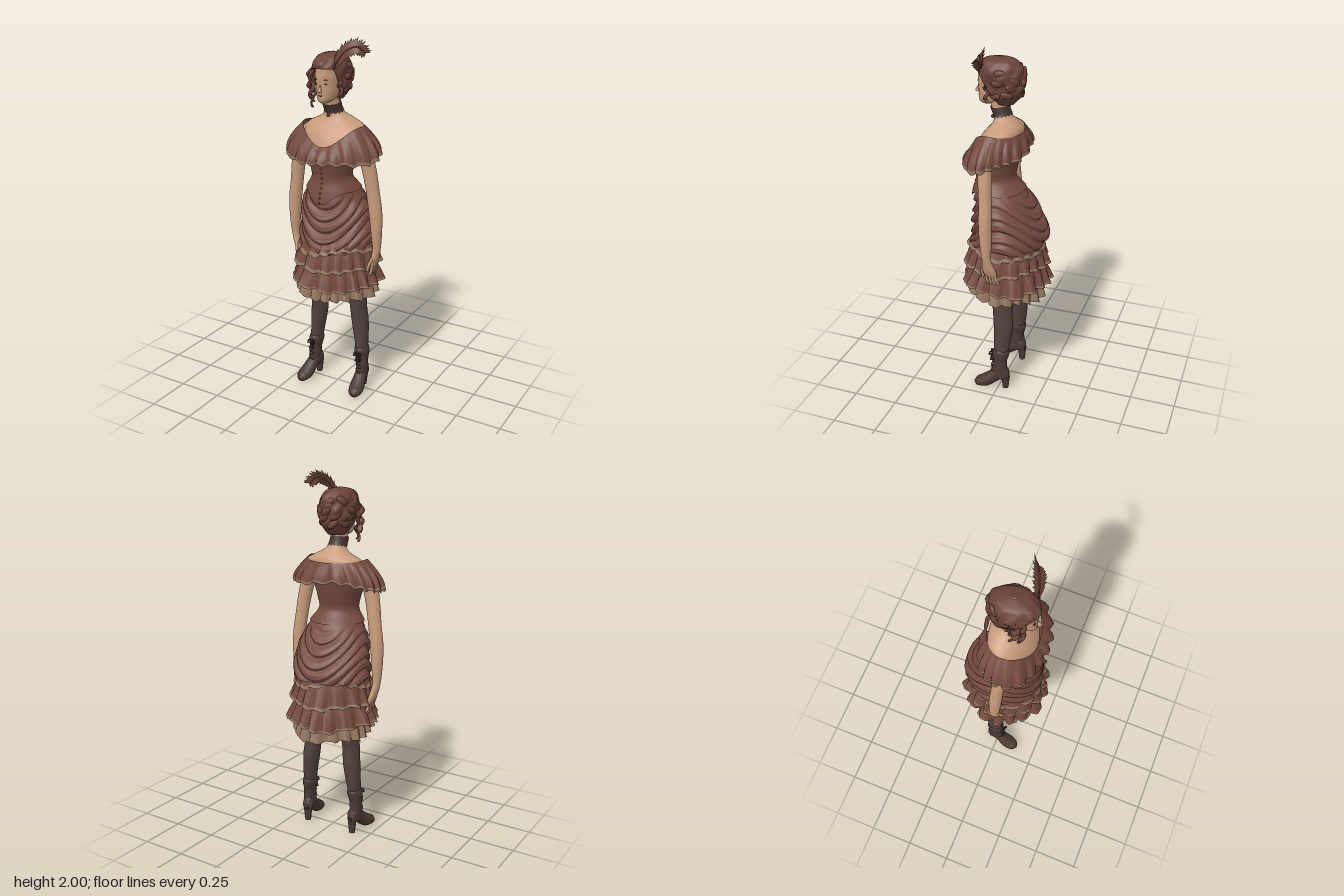
import * as THREE from 'three';

const { sin, cos, abs, max, PI } = Math;
const mat = (name, color) => new THREE.MeshStandardMaterial({ name, color, side: THREE.DoubleSide });
const M = {
  dress: mat('russet cloth', 0x754a3f), trim: mat('beige lace', 0x93765f), skin: mat('skin', 0xc89b7c),
  hair: mat('auburn hair', 0x6a4238), stocking: mat('dark stocking', 0x52423b), boot: mat('boot leather', 0x4b3932),
  dark: mat('dark ribbon', 0x45352f), lips: mat('lips', 0x9c6455),
};
const smooth = (a, b, x) => THREE.MathUtils.smoothstep(x, a, b);

// Closed surface f(angle, v), angle 0 facing +z, v rising
function surf(name, material, f, nu = 32, nv = 24) {
  const pos = [], idx = [];
  for (let j = 0; j <= nv; j++)
    for (let i = 0; i < nu; i++) {
      const u = i / nu * 2 * PI;
      pos.push(...f(u > PI ? u - 2 * PI : u, j / nv));
      if (j === nv) continue;
      const a = j * nu + i, b = j * nu + (i + 1) % nu;
      idx.push(a, b, b + nu, a, b + nu, a + nu);
    }
  const g = new THREE.BufferGeometry();
  g.setAttribute('position', new THREE.Float32BufferAttribute(pos, 3));
  g.setIndex(idx);
  g.computeVertexNormals();
  return part(name, g, material);
}
function part(name, geometry, material, x = 0, y = 0, z = 0) {
  const m = new THREE.Mesh(geometry, material);
  m.name = name;
  m.position.set(x, y, z);
  return m;
}

// Point on a body of sections [y, centreX, halfWidth, zFront, zBack]
function body(sections) {
  const curve = new THREE.CubicInterpolant(sections.map(s => s[0]), sections.flatMap(s => s.slice(1)), 4);
  return (a, y, off = 0) => {
    const [x, rx, zf, zb] = curve.evaluate(y);
    return [x + sin(a) * (max(rx, 0.001) + off), y, (zf + zb) / 2 + cos(a) * (max((zf - zb) / 2, 0.001) + off)];
  };
}
function loft(name, material, sections, nu = 24, nv = 30) {
  const p = body(sections), y0 = sections[0][0], y1 = sections.at(-1)[0];
  return surf(name, material, (a, v) => p(a, y0 + (y1 - y0) * v), nu, nv);
}

// Pleated flounce with lace hem and lining; top and bot are [halfWidth, zFront, zBack]
function ruffle(name, o) {
  const g = new THREE.Group();
  g.name = name;
  const f = (inset) => (a, w) => {
    const k = o.convex ? sin(w * PI / 2) : w, mix = i => o.top[i] + (o.bot[i] - o.top[i]) * k;
    const ph = o.pleats * a + 1.6 * sin(3 * a + o.pleats);
    const r = o.amp * w * (sin(ph) + 0.35 * sin(2 * ph + 1) + 0.4 * sin(5 * a + o.pleats)) - inset;
    const t = o.yTop(a), y = t + (o.yBot(a) - t) * w + w * (0.008 * sin(ph + 1) + 0.008 * sin(4 * a + o.pleats));
    return [sin(a) * (mix(0) + r), y, (mix(1) + mix(2)) / 2 + cos(a) * ((mix(1) - mix(2)) / 2 + r)];
  };
  const band = (n, m, w0, w1, inset, nv) => {
    const p = f(inset);
    g.add(surf(n, m, (a, v) => p(a, w1 + (w0 - w1) * v), 192, nv));
  };
  const h = 1 - o.hem;
  band('flounce', M.dress, 0, h, 0, 8);
  band('laceHem', M.trim, h, 1, 0, 2);
  band('lining', M.trim, 0.1, 1, 0.004, 6);
  return g;
}

function tube(name, material, pts, r, seg = 24) {
  const c = new THREE.CatmullRomCurve3(pts.map(p => new THREE.Vector3(...p)));
  return part(name, new THREE.TubeGeometry(c, seg, r, 6), material);
}

function feather() {
  const g = new THREE.Group();
  g.name = 'feather';
  const pts = [[0.05, 1.84, 0.13], [0.075, 1.89, 0.125], [0.115, 1.94, 0.11], [0.16, 1.957, 0.085], [0.195, 1.925, 0.06]];
  const c = new THREE.CatmullRomCurve3(pts.map(p => new THREE.Vector3(...p))), pos = [];
  for (let i = 1; i < 30; i++)
    for (const s of [-1, 1]) {
      const t = i / 30, p = c.getPoint(t), d = c.getTangent(t), len = 0.046 * sin(PI * (0.1 + 0.75 * t)) * (1 + 0.15 * sin(i * 2.3));
      const tip = p.clone().addScaledVector(d, 0.022).add(new THREE.Vector3(-d.y * s, d.x * s, -0.5 * s).multiplyScalar(len));
      pos.push(...c.getPoint(max(t - 0.1, 0)).toArray(), ...c.getPoint(Math.min(t + 0.08, 1)).toArray(), ...tip.toArray());
    }
  const geo = new THREE.BufferGeometry();
  geo.setAttribute('position', new THREE.Float32BufferAttribute(pos, 3));
  geo.computeVertexNormals();
  g.add(part('barbs', geo, M.hair), tube('quill', M.hair, pts, 0.004));
  return g;
}

function head() {
  const g = new THREE.Group();
  g.name = 'head';
  g.add(loft('face', M.skin, [[1.662, -0.01, 0.004, 0.135, 0.1], [1.675, -0.01, 0.03, 0.153, 0.05], [1.71, -0.01, 0.05, 0.157, 0.01],
    [1.76, -0.01, 0.061, 0.158, -0.03], [1.82, -0.01, 0.066, 0.16, -0.05], [1.88, -0.01, 0.055, 0.135, -0.04], [1.905, -0.01, 0.01, 0.06, 0.02]], 32));
  const nose = part('nose', new THREE.ConeGeometry(0.013, 0.05, 8), M.skin, -0.01, 1.75, 0.16);
  nose.rotation.x = -0.3;
  g.add(nose);
  const flat = (n, m, x, y, z, sx, sy) => {
    const e = part(n, new THREE.SphereGeometry(1, 12, 8), m, x, y, z);
    e.scale.set(sx, sy, 0.004);
    g.add(e);
  };
  for (const s of [-1, 1]) {
    flat('eye', M.hair, -0.01 + s * 0.026, 1.768, 0.149, 0.009, 0.003);
    flat('eyebrow', M.hair, -0.01 + s * 0.027, 1.79, 0.151, 0.013, 0.002);
  }
  flat('lips', M.lips, -0.01, 1.708, 0.157, 0.013, 0.004);
  // Pinned-up hair with a raised hairline over the face
  const p = body([[1.675, -0.01, 0.045, 0.06, -0.035], [1.72, -0.01, 0.078, 0.11, -0.072], [1.78, -0.01, 0.092, 0.145, -0.09],
    [1.84, -0.01, 0.095, 0.168, -0.09], [1.885, -0.01, 0.077, 0.15, -0.065], [1.91, -0.01, 0.045, 0.1, -0.02], [1.918, -0.01, 0.003, 0.05, 0.03]]);
  g.add(surf('hair', M.hair, (a, v) => {
    const lo = 1.675 + 0.17 * (1 - smooth(0.7, 1.15, abs(a))), y = lo + (1.918 - lo) * v;
    return p(a, y, sin(PI * v) * (0.005 * sin(4 * a + 45 * y) + 0.004 * sin(9 * a - 70 * y)));
  }, 72, 30));
  // Soft coils pinned flat on the back and sides
  for (let i = 0; i < 16; i++) {
    const a = 1.3 + (i * 2.4) % 3.7, y = 1.73 + 0.04 * (i % 4) + 0.01 * sin(i * 1.7);
    const coil = part('coil', new THREE.SphereGeometry(1, 10, 8), M.hair, ...p(a, y, -0.006));
    coil.scale.set(0.034, 0.02, 0.014);
    coil.rotation.set(0, a, 0.7 * sin(i * 2));
    g.add(coil);
  }
  // Loose waving locks, fuller on the right cheek
  for (const [x, z, top, bot, r] of [[-0.09, 0.11, 1.83, 1.68, 0.012], [-0.11, 0.085, 1.82, 1.73, 0.016], [-0.09, 0.1, 1.79, 1.63, 0.006],
    [-0.105, 0.06, 1.77, 1.65, 0.006], [0.068, 0.09, 1.78, 1.69, 0.009]]) {
    const pts = [];
    for (let i = 0; i <= 8; i++) pts.push([x + 0.009 * cos(i * 1.3), top + (bot - top) * i / 8, z + 0.009 * sin(i * 1.3)]);
    g.add(tube('lock', M.hair, pts, r, 30));
  }
  g.add(feather());
  return g;
}

function arm(s) {
  const g = new THREE.Group();
  g.name = s > 0 ? 'leftArm' : 'rightArm';
  g.add(loft('armAndPalm', M.skin, [[0.775, 0.232, 0.008, 0.04, -0.02], [0.79, 0.235, 0.016, 0.048, -0.024], [0.83, 0.245, 0.02, 0.055, -0.015],
    [0.88, 0.256, 0.021, 0.05, 0.002], [0.95, 0.257, 0.027, 0.06, 0], [1.1, 0.25, 0.036, 0.07, 0], [1.2, 0.236, 0.036, 0.072, 0.004],
    [1.32, 0.217, 0.039, 0.082, 0.01], [1.42, 0.193, 0.042, 0.09, 0.01], [1.5, 0.165, 0.04, 0.07, -0.02], [1.55, 0.13, 0.02, 0.03, -0.02]]
    .map(([y, x, ...r]) => [y, s * x, ...r])));
  for (let i = 0; i < 4; i++)
    g.add(tube('finger', M.skin, [[s * 0.235, 0.8, 0.036 - i * 0.016], [s * 0.231, 0.755, 0.036 - i * 0.018],
      [s * 0.218, 0.715 + 0.01 * abs(i - 1.5), 0.03 - i * 0.018]], 0.0085, 8));
  g.add(tube('thumb', M.skin, [[s * 0.243, 0.84, 0.045], [s * 0.23, 0.8, 0.064], [s * 0.22, 0.765, 0.062]], 0.009, 8));
  return g;
}

function leg(s) {
  const g = new THREE.Group();
  g.name = s > 0 ? 'leftLeg' : 'rightLeg';
  const side = a => a.map(([y, x, ...r]) => [y, s * x, ...r]);
  g.add(loft('stocking', M.stocking, side([[0.2, 0.152, 0.032, 0.024, -0.045], [0.3, 0.145, 0.038, 0.028, -0.066], [0.42, 0.133, 0.046, 0.033, -0.077],
    [0.5, 0.126, 0.045, 0.04, -0.072], [0.6, 0.118, 0.05, 0.05, -0.083], [0.8, 0.1, 0.075, 0.08, -0.1], [0.95, 0.09, 0.08, 0.09, -0.1]])));
  g.add(loft('bootShaft', M.boot, side([[0.07, 0.157, 0.028, 0.04, -0.058], [0.12, 0.157, 0.032, 0.038, -0.054], [0.18, 0.155, 0.034, 0.03, -0.05],
    [0.255, 0.15, 0.038, 0.03, -0.06], [0.26, 0.15, 0.034, 0.025, -0.055]])));
  const foot = new THREE.Group();
  foot.name = 'foot';
  foot.position.x = s * 0.157;
  foot.rotation.y = s * 0.16;
  // Sections run heel to toe
  const shoe = loft('shoe', M.boot, [[-0.064, 0, 0.012, -0.065, -0.1], [-0.055, 0, 0.025, -0.055, -0.13], [-0.01, 0, 0.031, -0.05, -0.15], [0.03, 0, 0.035, -0.022, -0.118],
    [0.065, 0, 0.041, -0.002, -0.088], [0.105, 0, 0.038, 0, -0.06], [0.13, 0, 0.025, -0.002, -0.046], [0.142, 0, 0.003, -0.012, -0.025]]);
  shoe.rotation.x = PI / 2;
  foot.add(shoe, part('heel', new THREE.CylinderGeometry(0.025, 0.017, 0.075, 12), M.boot, 0, 0.0375, -0.042));
  g.add(foot);
  for (let i = 0; i < 6; i++) {
    const lace = part('lace', new THREE.BoxGeometry(0.032, 0.004, 0.006), M.boot, s * 0.157, 0.115 + i * 0.022, 0.041 - i * 0.0017);
    lace.rotation.z = i % 2 ? 0.35 : -0.35;
    g.add(lace);
  }
  // Lace ends tied in a small bow
  for (const d of [-1, 1])
    g.add(tube('bowTail', M.dark, [[s * 0.153, 0.225, 0.034], [s * 0.153 + d * 0.014, 0.24, 0.045], [s * 0.153 + d * 0.02, 0.22, 0.05],
      [s * 0.153 + d * 0.006, 0.222, 0.042], [s * 0.153 + d * 0.014, 0.18, 0.045]], 0.004, 16));
  return g;
}

export function createModel() {
  const root = new THREE.Group();
  root.name = 'woman';
  const torso = [[1.34, 0, 0.1, 0.14, -0.035], [1.42, 0, 0.13, 0.165, -0.06], [1.5, 0, 0.175, 0.135, -0.078], [1.545, 0, 0.155, 0.1, -0.08],
    [1.575, 0, 0.095, 0.075, -0.06], [1.605, -0.006, 0.053, 0.07, -0.028], [1.65, -0.01, 0.043, 0.088, -0.005], [1.73, -0.01, 0.043, 0.105, 0.005]];
  root.add(loft('torsoAndNeck', M.skin, torso, 40));
  const neck = body(torso);
  root.add(surf('choker', M.dark, (a, v) => neck(a, 1.612 + 0.048 * v + 0.004 * (1 - v) * cos(16 * a) - 0.008 * cos(a), 0.006), 64, 6));
  root.add(part('pendant', new THREE.SphereGeometry(0.01, 10, 8), M.dark, -0.008, 1.597, 0.083));

  // Fitted bodice with a pointed front
  const shape = body([[1.1, 0, 0.19, 0.199, -0.16], [1.2, 0.003, 0.15, 0.182, -0.1], [1.27, 0.003, 0.106, 0.166, -0.045],
    [1.33, 0.003, 0.114, 0.175, -0.05], [1.4, 0, 0.135, 0.188, -0.065], [1.44, 0, 0.142, 0.178, -0.072]]);
  root.add(surf('bodice', M.dress, (a, v) => {
    const lo = 1.205 - 0.065 * max(cos(a), 0) ** 8;
    return shape(a, lo + (1.43 - lo) * v, 0.004);
  }, 64, 24));
  for (let i = 0; i < 9; i++)
    root.add(part('button', new THREE.SphereGeometry(0.006, 8, 6), M.dress, ...shape(0, 1.15 + i * 0.026, 0.004)));

  // Overskirt gathered into swags over a bustle
  const drape = body([[0.85, 0, 0.205, 0.2, -0.205], [0.93, 0, 0.206, 0.198, -0.224], [1.0, 0, 0.2, 0.19, -0.214], [1.1, 0, 0.188, 0.18, -0.16],
    [1.2, 0.002, 0.145, 0.168, -0.094], [1.26, 0.002, 0.1, 0.155, -0.035]]);
  root.add(surf('overskirt', M.dress, (a, v) => {
    const lo = 0.885 - 0.025 * cos(a), y = lo + (1.24 - lo) * v, t = (y - 0.14 * sin(a) ** 2 + 0.02 * sin(2 * a + 1)) * 100;
    const fold = sin(t) + 0.4 * sin(2 * t + 1) + 0.5 * sin(0.43 * t + 3 * a);
    return drape(a, y, 0.009 * fold * (1 - smooth(1.11, 1.21, y)) * (0.5 + 0.5 * smooth(0.86, 0.95, y)));
  }, 96, 90));

  // Flounces from the apron hem down to the petticoat, then the off-shoulder collar
  const back = a => max(-cos(a), 0), front = a => max(cos(a), 0);
  root.add(
    ruffle('apronFrill', { top: [0.195, 0.188, -0.2], bot: [0.22, 0.216, -0.215], yTop: () => 0.93, yBot: a => 0.86 + 0.02 * sin(2 * a) + 0.025 * back(a), pleats: 18, amp: 0.006, hem: 0.28 }),
    ruffle('upperTier', { top: [0.195, 0.19, -0.195], bot: [0.235, 0.23, -0.23], yTop: () => 0.9, yBot: () => 0.77, pleats: 17, amp: 0.014, hem: 0.13 }),
    ruffle('middleTier', { top: [0.195, 0.19, -0.195], bot: [0.248, 0.238, -0.24], yTop: () => 0.8, yBot: a => 0.665 - 0.015 * back(a), pleats: 16, amp: 0.018, hem: 0.07 }),
    ruffle('petticoat', { top: [0.19, 0.18, -0.185], bot: [0.222, 0.208, -0.21], yTop: () => 0.71, yBot: a => 0.596 - 0.022 * back(a), pleats: 18, amp: 0.016, hem: 0.5 }),
    ruffle('collar', { top: [0.172, 0.168, -0.09], bot: [0.268, 0.216, -0.122], yTop: a => 1.55 - 0.105 * front(a) ** 3 - 0.015 * back(a),
      yBot: a => 1.385 - 0.025 * front(a) + 0.045 * back(a), pleats: 19, amp: 0.011, hem: 0.11, convex: true }),
    head());
  for (const s of [-1, 1]) root.add(arm(s), leg(s));
  return root;
}
